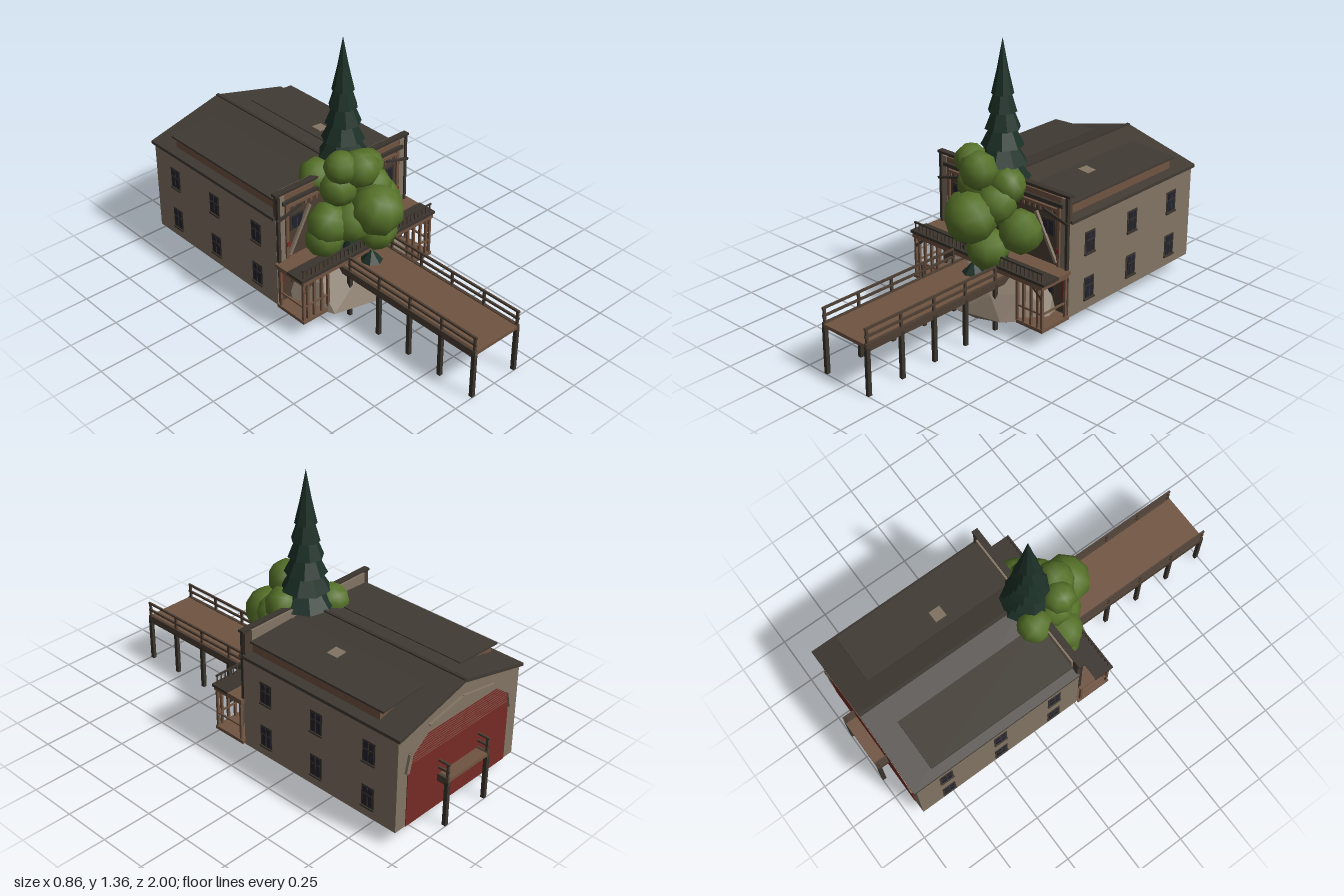
import * as THREE from 'three';
import { ConvexGeometry } from 'three/addons/geometries/ConvexGeometry.js';

const mat = (name, color, flatShading = false) => {
  const m = new THREE.MeshStandardMaterial({ color, flatShading });
  m.name = name;
  return m;
};

export function createModel() {
  const M = {
    wall: mat('plaster', 0x837564), roof: mat('roofing', 0x403a33), wood: mat('planks', 0x705441),
    dark: mat('dark timber', 0x3a342d), glass: mat('window glass', 0x22222f), red: mat('red lining', 0x762a25),
    rock: mat('rock', 0x857868, true), leaf: mat('leaves', 0x567229), fir: mat('fir needles', 0x1c3027, true),
    shade: mat('shaded timber', 0x4d3e32),
  };
  const root = new THREE.Group();
  const group = (name) => {
    const g = new THREE.Group();
    g.name = name;
    root.add(g);
    return g;
  };
  const mesh = (name, geo, m, parent = root) => {
    const o = new THREE.Mesh(geo, m);
    o.name = name;
    parent.add(o);
    return o;
  };
  // box given by its limits
  const box = (name, m, x0, x1, y0, y1, z0, z1, parent) => {
    const o = mesh(name, new THREE.BoxGeometry(x1 - x0, y1 - y0, z1 - z0), m, parent);
    o.position.set((x0 + x1) / 2, (y0 + y1) / 2, (z0 + z1) / 2);
    return o;
  };
  // square bar between two points
  const bar = (name, m, a, b, t, parent) => {
    const p = new THREE.Vector3(...a), q = new THREE.Vector3(...b);
    const o = mesh(name, new THREE.BoxGeometry(t, t, p.distanceTo(q)), m, parent);
    o.position.copy(p).lerp(q, 0.5);
    o.lookAt(q);
  };
  // outline in x/y pushed along z
  const prism = (name, m, pts, z0, z1, parent) => {
    const s = new THREE.Shape(pts.map((p) => new THREE.Vector2(...p)));
    const o = mesh(name, new THREE.ExtrudeGeometry(s, { depth: z1 - z0, bevelEnabled: false }), m, parent);
    o.position.z = z0;
  };

  // hall with gable roof
  const hall = group('hall');
  prism('hallWalls', M.wall, [[-0.41, 0.08], [0.41, 0.08], [0.41, 0.56], [0, 0.665], [-0.41, 0.56]], -0.935, -0.005, hall);
  box('floorUnderside', M.red, -0.405, 0.405, 0.0785, 0.08, -0.93, -0.01, hall);
  prism('roof', M.roof, [[-0.42, 0.557], [0, 0.664], [0.42, 0.557], [0.42, 0.573], [0, 0.68], [-0.42, 0.573]], -0.95, -0.01, hall);
  box('ridgeCap', M.dark, -0.008, 0.008, 0.67, 0.684, -0.95, -0.01, hall);
  const hatch = box('roofHatch', M.wall, 0.165, 0.225, 0.645, 0.655, -0.41, -0.35, hall);
  hatch.rotation.z = -0.1;
  for (const s of [-1, 1]) {
    const dormer = group('dormer');
    const o = (pts) => pts.map(([x, y]) => [s * x, y]);
    prism('dormerBody', M.wood, o([[0.15, 0.58], [0.375, 0.575], [0.375, 0.634], [0.13, 0.645]]), -0.8, -0.03, dormer);
    prism('dormerRoof', M.roof, o([[0.12, 0.645], [0.385, 0.632], [0.385, 0.642], [0.12, 0.654]]), -0.825, -0.025, dormer);
    // side windows in two rows
    for (const z of [-0.15, -0.465, -0.775]) for (const y of [0.19, 0.425]) {
      const w = group('sideWindow');
      const plate = (name, m, dx, y0, y1, z0, z1) => {
        const a = s * 0.41, b = s * (0.41 + dx);
        box(name, m, Math.min(a, b), Math.max(a, b), y + y0, y + y1, z + z0, z + z1, w);
      };
      plate('windowFrame', M.dark, 0.003, -0.058, 0.056, -0.036, 0.036);
      plate('windowGlass', M.glass, 0.005, -0.048, 0.048, -0.027, 0.027);
      plate('mullion', M.dark, 0.007, -0.048, 0.048, -0.003, 0.003);
      plate('crossbar', M.dark, 0.007, 0.01, 0.015, -0.027, 0.027);
      plate('windowSill', M.dark, 0.009, -0.062, -0.054, -0.038, 0.038);
    }
  }

  // back wall: red panel breaking into slats under a faceted arch
  const back = group('backArch');
  box('redPanel', M.red, -0.345, 0.345, 0.08, 0.4, -0.938, -0.935, back);
  for (let i = 0; i < 9; i++) {
    const y = 0.406 + i * 0.012, w = Math.min(0.34, 0.33 - (y - 0.45) * 1.3);
    box('redSlat', M.red, -w, w, y, y + 0.006, -0.938, -0.935, back);
  }
  const arch = [[-0.355, 0.37], [-0.335, 0.46], [-0.22, 0.545], [0, 0.585], [0.22, 0.545], [0.335, 0.46], [0.355, 0.37]];
  for (let i = 0; i < 6; i++) bar('archTrim', M.wall, [...arch[i], -0.938], [...arch[i + 1], -0.938], 0.02, back);

  // front facade with parapet
  const facade = group('facade');
  box('parapet', M.shade, -0.41, 0.41, 0.56, 0.69, -0.02, -0.004, facade);
  box('parapetCap', M.dark, -0.42, 0.42, 0.69, 0.702, -0.02, 0.012, facade);
  box('parapetBack', M.wall, -0.375, 0.375, 0.57, 0.695, -0.03, -0.02, facade);
  box('facadeWall', M.shade, -0.405, 0.405, 0.09, 0.6, -0.005, 0, facade);
  box('fascia', M.wood, -0.38, 0.38, 0.652, 0.678, -0.004, 0.004, facade);
  box('facadeBeam', M.dark, -0.38, 0.38, 0.632, 0.65, -0.004, 0.016, facade);
  box('lowerBeam', M.wood, -0.36, 0.36, 0.605, 0.618, -0.004, 0.01, facade);
  for (let i = -10; i <= 10; i++) box('dentil', M.wood, i * 0.034 - 0.006, i * 0.034 + 0.006, 0.585, 0.606, 0, 0.008, facade);
  for (const s of [-1, 1]) {
    const sb = (name, m, x, w, y0, y1, z0, z1) => box(name, m, s * x - w / 2, s * x + w / 2, y0, y1, z0, z1, facade);
    sb('cornerPillar', M.dark, 0.403, 0.014, 0.33, 0.69, -0.004, 0.012);
    sb('facadePillar', M.wall, 0.38, 0.03, 0.33, 0.68, -0.004, 0.006);
    sb('innerPost', M.wood, 0.352, 0.016, 0.33, 0.64, 0, 0.01);
    sb('redCurtain', M.red, 0.35, 0.02, 0.4, 0.422, 0.01, 0.014);
    sb('lowerRedPanel', M.red, 0.388, 0.024, 0.18, 0.27, 0, 0.004);
    for (const [y0, y1] of [[0.48, 0.545], [0.19, 0.275]]) {
      sb('frontWindowFrame', M.dark, 0.29, 0.08, y0 - 0.01, y1 + 0.01, 0, 0.004);
      for (const d of [-0.017, 0.017]) sb('frontWindowGlass', M.glass, 0.29 + d, 0.026, y0, y1, 0.004, 0.007);
    }
    bar('slopedTrim', M.dark, [s * 0.415, 0.56, 0.012], [s * 0.27, 0.6, 0.012], 0.012, facade);
    bar('diagonalStrut', M.wall, [s * 0.345, 0.35, 0.012], [s * 0.22, 0.575, 0.012], 0.014, facade);
  }

  // two-storey porch
  const porch = group('porch');
  for (const s of [-1, 1]) {
    const a = s < 0 ? -0.42 : 0.26, b = s < 0 ? -0.26 : 0.42;
    box('lowerDeck', M.wood, a, b, 0.08, 0.097, 0, 0.19, porch);
    for (const x of [0.41, 0.385, 0.345, 0.3, 0.26]) for (const z of [0.02, 0.18])
      if (z > 0.1 || x > 0.4) box('porchPost', M.wood, s * x - 0.006, s * x + 0.006, 0.09, 0.31, z - 0.006, z + 0.006, porch);
    bar('porchRail', M.wood, [s * 0.41, 0.17, 0.02], [s * 0.41, 0.17, 0.18], 0.008, porch);
    bar('porchFrontRail', M.wood, [s * 0.41, 0.17, 0.18], [s * 0.26, 0.17, 0.18], 0.008, porch);
    bar('porchBrace', M.shade, [s * 0.41, 0.25, 0.18], [s * 0.34, 0.31, 0.18], 0.012, porch);
  }
  box('balconyBeam', M.wood, -0.42, 0.42, 0.298, 0.32, 0.005, 0.192, porch);
  box('balconyFloor', M.wood, -0.427, 0.427, 0.316, 0.33, 0, 0.09, porch);
  box('balconyEdge', M.dark, -0.43, 0.43, 0.32, 0.334, 0.09, 0.195, porch);
  bar('balconyRail', M.dark, [-0.415, 0.376, 0.18], [0.415, 0.376, 0.18], 0.008, porch);
  for (let i = -16; i <= 16; i++) box('baluster', M.shade, i * 0.0255 - 0.003, i * 0.0255 + 0.003, 0.33, 0.376, 0.177, 0.183, porch);

  // long pier on posts, passing through the hall
  const pier = group('pier');
  box('pierDeck', M.wood, -0.14, 0.14, 0.235, 0.252, -1, 1, pier);
  for (const s of [-1, 1]) {
    box('pierBeam', M.shade, s * 0.137 - 0.008, s * 0.137 + 0.008, 0.218, 0.256, -1, 1, pier);
    for (let i = -5; i <= 5; i++) {
      const z = i * 0.198;
      box('pierPost', M.dark, s * 0.137 - 0.009, s * 0.137 + 0.009, 0, 0.235, z - 0.01, z + 0.01, pier);
      if (i > 0 || i === -5) box('railPost', M.shade, s * 0.137 - 0.005, s * 0.137 + 0.005, 0.25, 0.328, z - 0.006, z + 0.006, pier);
    }
    for (const y of [0.288, 0.326]) for (const [z0, z1] of [[0.19, 1], [-1, -0.936]])
      box('handRail', M.shade, s * 0.137 - 0.005, s * 0.137 + 0.005, y - 0.005, y + 0.005, z0, z1, pier);
  }

  // boulder from a few uneven rings
  const pts = [];
  [[0.05, 0.3, 0.24], [0.08, 0.355, 0.3], [0.19, 0.31, 0.22], [0.26, 0.17, 0.14]].forEach(([y, rx, rz], k) => {
    for (let i = 0; i < 9; i++) {
      const a = (i + k * 0.35) / 9 * Math.PI * 2, j = 1 + 0.05 * Math.sin(i * 4.1 + k * 2);
      pts.push(new THREE.Vector3(Math.cos(a) * rx * j, y + (k > 1 ? 0.015 * Math.sin(i * 2.3 + k) : 0), Math.sin(a) * rz * j));
    }
  });
  mesh('boulder', new ConvexGeometry(pts), M.rock);

  // fir tree of stacked tiers, the top one drawn out to a thin tip
  const fir = group('firTree');
  const trunk = mesh('trunk', new THREE.CylinderGeometry(0.03, 0.04, 0.5, 8), M.dark, fir);
  trunk.position.y = 0.5;
  for (let i = 0; i < 6; i++) {
    const r = 0.053 + i * 0.0165, h = 0.265 - i * 0.012;
    const profile = [[0, 0], [r, 0], [r * 0.5, h * 0.45], [0, h]].map((p) => new THREE.Vector2(...p));
    const tier = mesh('firTier', new THREE.LatheGeometry(profile, 8), M.fir, fir);
    tier.position.y = 1.09 - i * 0.083;
    tier.rotation.y = i * 0.5;
  }
  for (const [x, y, z, r, h] of [[0, 0.285, 0.2, 0.055, 0.06], [-0.08, 0.37, 0.14, 0.05, 0.13], [0.12, 0.37, 0.14, 0.05, 0.13]])
    mesh('sapling', new THREE.ConeGeometry(r, h, 7), M.fir).position.set(x, y, z);

  // leafy clumps: x, y, z, radius
  const leaves = group('leafyTree');
  [[-0.105, 0.765, 0.1, 0.082], [-0.12, 0.66, -0.05, 0.09], [-0.02, 0.745, 0.14, 0.095], [0.085, 0.675, 0.06, 0.092],
    [-0.1, 0.645, 0.08, 0.092], [0.01, 0.545, 0.225, 0.128], [-0.165, 0.48, 0.08, 0.105], [0.17, 0.47, 0.06, 0.11],
    [-0.18, 0.395, 0.07, 0.095], [0.06, 0.385, 0.165, 0.104], [0.07, 0.6, 0.12, 0.1], [-0.07, 0.48, 0.14, 0.105],
  ].forEach(([x, y, z, r], i) => {
    const c = mesh('leafClump', new THREE.SphereGeometry(r, 8, 6), M.leaf, leaves);
    c.position.set(x, y, z);
    c.rotation.set(i * 0.7, i * 1.3, 0);
    c.scale.y = 0.96;
  });
  return root;
}
